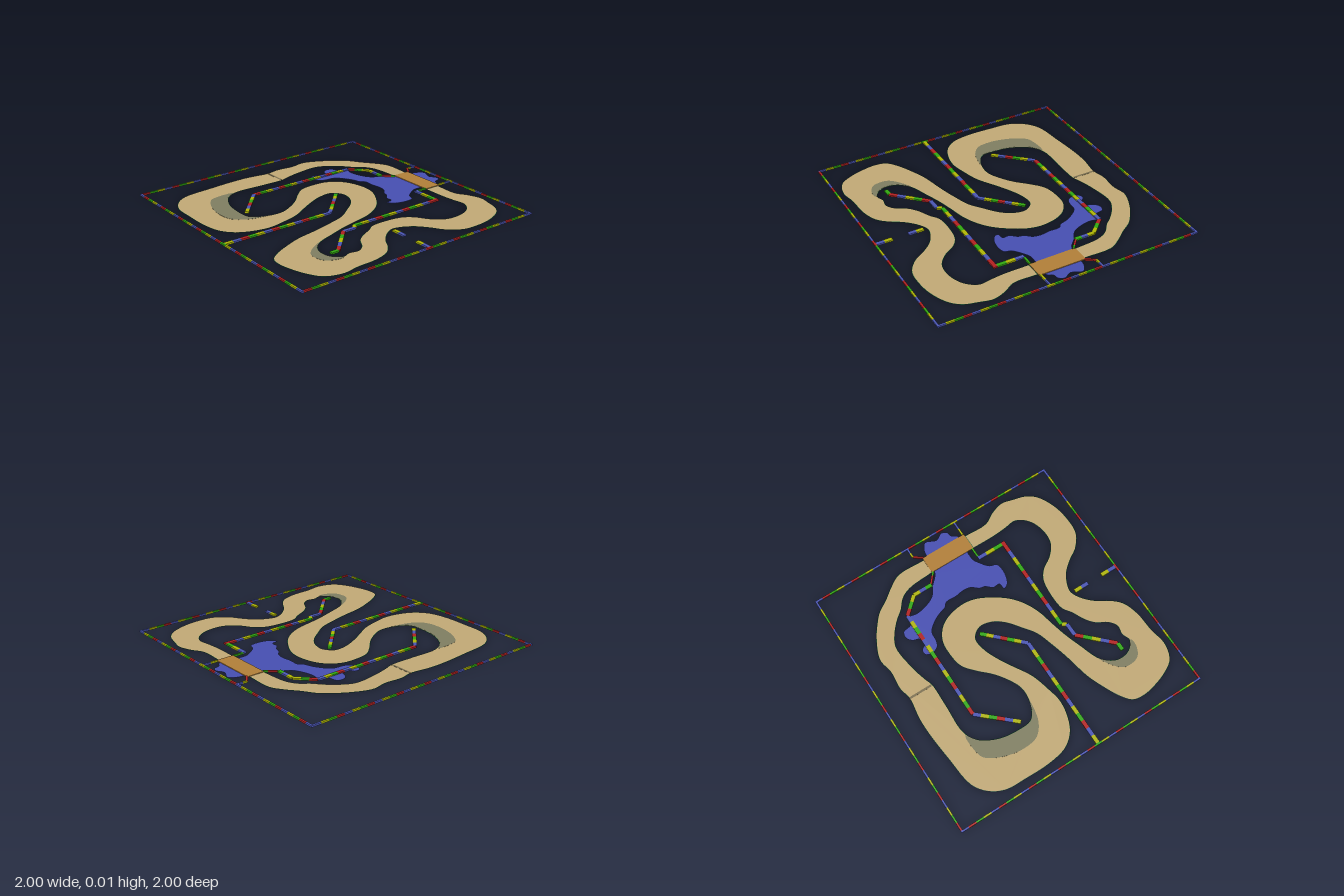
import * as THREE from 'three';
import { mergeGeometries } from 'three/addons/utils/BufferGeometryUtils.js';

function material(name, color) {
  const m = new THREE.MeshStandardMaterial({ color });
  m.name = name;
  return m;
}

// Flat number list in hundredths (x, z, x, z ...) to points
function points(list) {
  const out = [];
  for (let i = 0; i < list.length; i += 2) out.push(new THREE.Vector2(list[i] / 100, list[i + 1] / 100));
  return out;
}

// Smooth curve through the points
function smooth(list, closed = false) {
  const pts = points(list).map(p => new THREE.Vector3(p.x, 0, p.y));
  return new THREE.CatmullRomCurve3(pts, closed)
    .getPoints(pts.length * 4).map(p => new THREE.Vector2(p.x, p.z));
}

// Thin horizontal slab from an outline seen from above, with an optional sloping rim
function slab(name, outline, y, height, materials, rim = 0) {
  const shape = new THREE.Shape(outline.map(p => new THREE.Vector2(p.x, -p.y)));
  const slope = rim ? height * 0.4 : 0;
  const geo = new THREE.ExtrudeGeometry(shape, {
    depth: height - 2 * slope, bevelEnabled: rim > 0, bevelSegments: 1, bevelThickness: slope, bevelSize: rim,
  });
  geo.rotateX(-Math.PI / 2).translate(0, y + slope, 0);
  const mesh = new THREE.Mesh(geo, materials);
  mesh.name = name;
  return mesh;
}

export function createModel() {
  const group = new THREE.Group();
  group.name = 'raceTrack';

  const sand = material('sand', 0xbfa774);
  const grass = material('grass edge', 0x2a6844);
  const mud = material('mud', 0x7e7d60);
  const line = material('start line', 0x7c7050);
  const water = material('water', 0x464eb0);
  const wood = material('wood', 0xb07e38);
  const blocks = {
    b: material('blue block', 0x4a55b2), y: material('yellow block', 0xaeb404),
    g: material('green block', 0x30a610), r: material('red block', 0xb02020),
  };

  // Track: a band between two smooth edges, open where the bridge spans it
  const outerEdge = smooth([
    -16, -85, -38, -85, -47, -80, -56, -73, -65, -67, -71, -60, -77, -51, -83, -36,
    -81, -24, -82, -10, -80, 0, -82, 16, -82, 30, -80, 52, -77, 75, -70, 85,
    -59, 91, -43, 92, -24, 92, -9, 89, 0, 82, 5, 72, 7.2, 59, 5, 47,
    1, 33, -7, 19, -13, 8, -17, -2, -18, -12, -14, -17, -9, -19, 0, -17,
    8, -11, 15, -2, 22, 8, 26, 20, 30, 35, 34, 54, 39, 67, 45, 79,
    51, 86, 59, 87.5, 69, 86, 81, 82, 90, 76, 94, 64, 92, 51, 91, 35,
    87, 23, 80, 16, 72, 11, 64, 3, 60, -5, 61, -11, 66, -20, 74, -27,
    83, -33, 90, -43, 91, -56, 89, -69, 83, -82, 76, -88, 66, -91, 57, -93,
    47, -90, 38, -85, 20, -85,
  ]);
  const innerEdge = smooth([
    -16, -74, -37, -72, -45, -68, -51, -61, -57, -56, -64, -48, -69, -38, -67, -18,
    -64, -6, -62, 0, -62, 19, -62, 42, -56, 52, -43, 59, -29, 61, -18, 60,
    -13, 54, -10, 45, -10, 36, -14, 27, -21, 17, -30, 8, -37, -1, -39, -13,
    -38, -24, -32, -33, -23, -38, -10, -40, 0, -38, 11, -32, 20, -25, 27, -16,
    32, -5, 35, 8, 38, 20, 42, 32, 48, 48, 54, 54, 60, 56.5, 67, 56,
    72, 53, 75, 48, 73, 42, 74, 35, 70, 29, 62, 24, 57, 18, 52, 8,
    48, 2, 47, -10, 49, -24, 54, -31, 63, -37, 70, -46, 71, -57, 68, -67,
    63, -73, 57, -76, 49, -75, 38, -74, 20, -74,
  ]);
  group.add(slab('track', [...outerEdge, ...innerEdge.reverse()], 0.001, 0.003, [sand, grass], 0.005));

  // Muddy inner corners and the start line, showing on both faces of the track
  group.add(slab('leftMud', smooth([
    -62, 44, -56, 52, -43, 59, -29, 61, -18, 60, -13, 54, -10.5, 47,
    -11, 53, -14, 64, -21, 72, -32, 74, -45, 72, -56, 67, -61, 62,
  ], true), 0, 0.005, mud));
  group.add(slab('rightMud', smooth([
    48, 48, 54, 54, 60, 56.5, 67, 56, 72, 53, 75, 48.5,
    76, 49, 76, 55, 72, 62, 65, 64, 59, 63, 53, 57,
  ], true), 0, 0.005, mud));
  group.add(slab('startLine', points([-80.5, -0.8, -62.5, -0.8, -62.5, 0.8, -80.5, 0.8]), 0, 0.005, line));

  // Lake
  group.add(slab('lake', smooth([
    -13, -87, -12, -92, -8, -97, 0, -94, 6, -97, 10, -95, 11, -91, 15, -88,
    14, -67, 17, -61, 22, -55, 27, -53, 28, -44, 25, -36, 21, -34, 20, -39,
    15, -39, 10, -43, 6, -44, 1, -48, -5, -49, -12, -48, -20, -48, -23, -45,
    -29, -43, -36, -39, -41, -34, -42, -26, -44, -22, -50, -20, -54, -22, -54, -26,
    -50, -29, -51, -34, -56, -36, -59, -40, -58, -45, -51, -47, -50, -53, -43, -52,
    -36, -53, -27, -57, -22, -64, -15, -72,
  ], true), 0.001, 0.002, water));

  // Bridge deck
  group.add(slab('bridge', points([-16.5, -87, 19.5, -87, 19.5, -73.5, -16.5, -73.5]), 0, 0.008, wood));

  // Walls: each leg of the path is a row of blocks, one letter per block colour
  const height = 0.012;
  function wall(name, width, path, legs) {
    const pts = points(path);
    const sets = { b: [], y: [], g: [], r: [] };
    legs.forEach((leg, i) => {
      const d = pts[i + 1].clone().sub(pts[i]);
      [...leg].forEach((letter, k) => {
        const c = pts[i].clone().addScaledVector(d, (k + 0.5) / leg.length);
        const box = new THREE.BoxGeometry(d.length() / leg.length, height, width);
        box.rotateY(-Math.atan2(d.y, d.x)).translate(c.x, height / 2, c.y);
        sets[letter].push(box);
      });
    });
    const part = new THREE.Group();
    part.name = name;
    for (const [letter, set] of Object.entries(sets)) {
      if (!set.length) continue;
      const mesh = new THREE.Mesh(mergeGeometries(set), blocks[letter]);
      mesh.name = name + 'Blocks';
      part.add(mesh);
    }
    group.add(part);
  }

  const thin = 0.015, thick = 0.03;
  const across = 'brgy'.repeat(8) + 'b', along = 'bygr'.repeat(8);
  wall('backBorder', thin, [-100, -99.25, 100, -99.25], [across]);
  wall('frontBorder', thin, [-100, 99.25, 100, 99.25], [across]);
  wall('rightBorder', thin, [-99.25, -98.5, -99.25, 98.5], [along]);
  wall('leftBorder', thin, [99.25, -98.5, 99.25, 98.5], [along]);

  wall('lakeWall', thick, [-22, -65.3, -37, -65.3, -49.3, -54, -49.3, 34, -24, 57],
    ['gby', 'ygr', 'bygr'.repeat(4), 'bygrby']);
  wall('middleWall', thick, [-13, -14, 12.3, 11, 12.3, 98.5], ['gybrgyb', 'bygr'.repeat(3) + 'by']);
  wall('eastWallBack', thick, [18, -64.5, 38.7, -64.5, 41.7, -64.5], ['byg', 'r']);
  wall('eastWall', thick, [40.2, -63, 40.2, 12, 43.7, 14, 43.7, 24, 66, 46, 66, 52],
    ['rbygrbygrbyg', 'y', 'b', 'rgybr', 'g']);
  wall('gateInner', thick, [63, -4.1, 74.5, -4.1], ['yb']);
  wall('gateOuter', thick, [86.5, -4.1, 98.5, -4.1], ['yb']);

  // Thin walls leading to the bridge
  wall('bridgeWallBackRight', thin, [-22, -98.5, -22, -91.5, -15.5, -87], ['by', 'r']);
  wall('bridgeWallFrontRight', thin, [-22, -66, -15.5, -73.5], ['rrg']);
  wall('bridgeWallBackLeft', thin, [18.5, -98.5, 18.5, -87], ['by']);
  wall('bridgeWallFrontLeft', thin, [18.5, -73.5, 18.5, -66], ['g']);

  return group;
}
